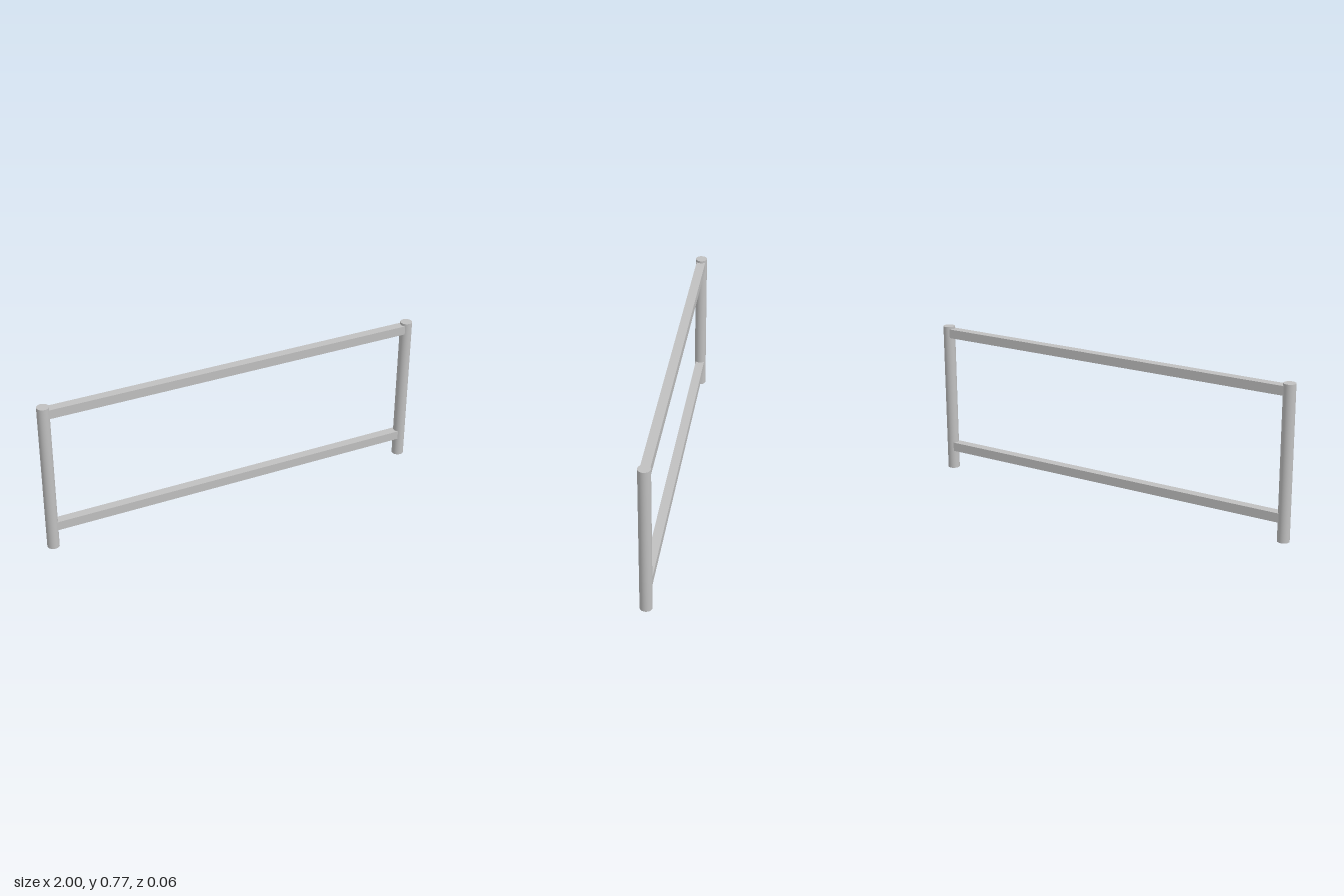
import * as THREE from 'three';

const HEIGHT = 0.775;
const POST_RADIUS = 0.03;
const POST_X = 1 - POST_RADIUS;
const RAIL = 0.046;

export function createModel() {
  const model = new THREE.Group();
  model.name = 'barrierFrame';
  const steel = new THREE.MeshStandardMaterial({ color: 0xc0c0c0 });
  steel.name = 'steel grey';

  const add = (name, geometry, x, y) => {
    const mesh = new THREE.Mesh(geometry, steel);
    mesh.name = name;
    mesh.position.set(x, y, 0);
    model.add(mesh);
  };

  // Round upright posts
  const post = new THREE.CylinderGeometry(POST_RADIUS, POST_RADIUS, HEIGHT, 32);
  add('leftPost', post, POST_X, HEIGHT / 2);
  add('rightPost', post, -POST_X, HEIGHT / 2);

  // Square rails, with their ends buried in the posts
  const rail = new THREE.BoxGeometry(POST_X * 2, RAIL, RAIL);
  add('topRail', rail, 0, 0.74);
  add('bottomRail', rail, 0, 0.12);

  return model;
}
